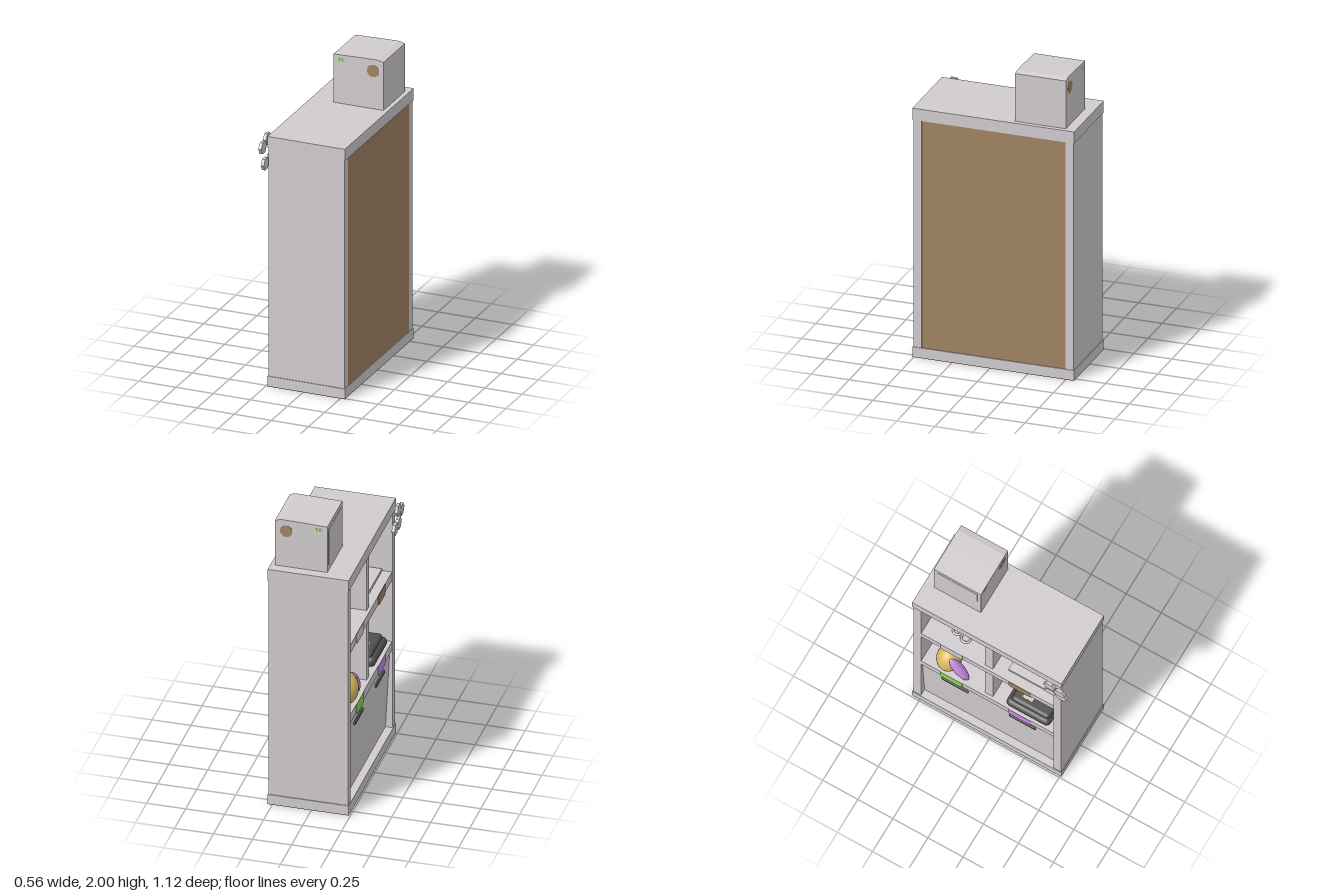
import * as THREE from 'three';
import { RoundedBoxGeometry } from 'three/addons/geometries/RoundedBoxGeometry.js';

const mat = (name, color) => {
  const m = new THREE.MeshStandardMaterial({ color });
  m.name = name;
  return m;
};
const shapeOf = (points) => new THREE.Shape(points.map(([a, b]) => new THREE.Vector2(a, b)));
const extrude = (shape, depth) => new THREE.ExtrudeGeometry(shape, { depth, bevelEnabled: false });

export function createModel() {
  const grey = mat('light grey', 0xd1cccf);
  const brown = mat('brown', 0xa08463);
  const dark = mat('dark grey', 0x515151);
  const green = mat('green', 0x8fd45c);
  const purple = mat('purple', 0xc48be0);
  const yellow = mat('yellow', 0xdcbc62);

  const root = new THREE.Group();
  root.name = 'shelfUnit';

  const add = (name, geo, material, x = 0, y = 0, z = 0, parent = root) => {
    const m = new THREE.Mesh(geo, material);
    m.name = name;
    m.position.set(x, y, z);
    parent.add(m);
    return m;
  };
  // Box given by its lower and upper bounds on each axis
  const box = (name, material, x0, x1, y0, y1, z0, z1) =>
    add(name, new THREE.BoxGeometry(x1 - x0, y1 - y0, z1 - z0), material,
      (x0 + x1) / 2, (y0 + y1) / 2, (z0 + z1) / 2);

  // Carcass, open towards -x
  box('underside', dark, -0.24, 0.28, 0, 0.003, -0.555, 0.51);
  box('base', grey, -0.24, 0.28, 0.003, 0.068, -0.555, 0.51);
  box('topBoard', grey, -0.24, 0.28, 1.592, 1.67, -0.555, 0.51);
  box('backSidePanel', grey, -0.235, 0.275, 0.068, 1.592, -0.55, -0.495);
  box('frontSidePanel', grey, -0.235, 0.275, 0.068, 1.592, 0.45, 0.505);
  box('rearPanel', brown, 0.25, 0.274, 0.068, 1.592, -0.495, 0.45);

  // Shelves and upright divider
  box('middleShelf', grey, -0.232, 0.25, 1.115, 1.175, -0.495, 0.45);
  box('lowerShelf', grey, -0.232, 0.25, 0.62, 0.68, -0.495, 0.45);
  box('upperDivider', grey, -0.212, 0.25, 1.175, 1.592, -0.05, 0.005);
  box('lowerDivider', grey, -0.212, 0.25, 0.68, 1.115, -0.05, 0.005);

  // Closed lower compartment, leaning out at the top, with two handles
  const frontShape = shapeOf([[-0.19, 0.068], [-0.16, 0.068], [-0.16, 0.62], [-0.218, 0.62]]);
  add('lowerFront', extrude(frontShape, 0.945), grey, 0, 0, -0.495);
  for (const z of [-0.26, 0.22]) {
    add('handle', new RoundedBoxGeometry(0.014, 0.025, 0.19, 2, 0.006), dark, -0.219, 0.54, z);
  }

  // Rounded tags on the shelf edges
  const tagShape = new THREE.Shape();
  tagShape.moveTo(-0.08, 0.037);
  tagShape.lineTo(-0.08, -0.01);
  tagShape.quadraticCurveTo(-0.08, -0.037, -0.055, -0.037);
  tagShape.lineTo(0.055, -0.037);
  tagShape.quadraticCurveTo(0.08, -0.037, 0.08, -0.01);
  tagShape.lineTo(0.08, 0.037);
  const tagGeo = extrude(tagShape, 0.004);
  tagGeo.rotateY(-Math.PI / 2);
  for (const [material, y, z] of [
    [grey, 1.145, -0.28], [brown, 1.145, 0.21], [green, 0.645, -0.28], [purple, 0.645, 0.21],
  ]) add('shelfTag', tagGeo, material, -0.232, y, z);

  // Box on top, with a slightly arched lid
  const cubeShape = shapeOf([[-0.085, 1.67], [0.25, 1.67], [0.25, 1.99], [0.21, 2], [0.1, 1.998], [-0.085, 1.992]]);
  add('topBox', extrude(cubeShape, 0.335), grey, 0, 0, -0.49);
  const doorGeo = extrude(shapeOf([
    [-0.465, 1.71], [-0.33, 1.71], [-0.285, 1.725], [-0.195, 1.81], [-0.18, 1.84], [-0.18, 1.96], [-0.465, 1.96],
  ]), 0.0015);
  doorGeo.rotateY(-Math.PI / 2);
  add('topBoxDoor', doorGeo, grey, -0.085, 0, 0);
  for (const z of [-0.49, -0.155]) {
    const spot = add('roundPatch', new THREE.CylinderGeometry(0.041, 0.041, 0.002, 12), brown, 0.18, 1.922, z);
    spot.rotation.x = Math.PI / 2;
    box('smallLabel', green, -0.055, -0.012, 1.95, 1.97, z - 0.001, z + 0.001);
  }

  // Two flat bows with six-sided lobes, hung beside the front corner
  const lobeGeo = new THREE.CylinderGeometry(0.042, 0.042, 0.02, 6).toNonIndexed();
  lobeGeo.rotateZ(Math.PI / 2);
  lobeGeo.computeVertexNormals();
  const bow = (x, y, tilt) => {
    const g = new THREE.Group();
    g.name = 'bow';
    g.position.set(x, y, 0.48);
    g.rotation.x = tilt;
    for (const s of [-1, 1]) {
      add('bowLobe', lobeGeo, grey, 0, 0, s * 0.039, g).rotation.x = Math.PI / 2 * (tilt ? 1 : 0);
    }
    root.add(g);
  };
  bow(-0.271, 1.61, 0.45);
  bow(-0.253, 1.49, 0);

  // Upper shelf: linked rings and a flat tray
  for (const [x, z] of [[-0.1, -0.31], [-0.12, -0.24]]) {
    const ring = add('ring', new THREE.TorusGeometry(0.03, 0.008, 6, 20), grey, x, 1.183, z);
    ring.rotation.x = Math.PI / 2;
  }
  box('flatTray', grey, -0.17, 0.1, 1.175, 1.195, 0.09, 0.44);

  // Lower shelf, one side: round bag, soft purple piece and a banded box
  const bag = add('roundBag', new THREE.SphereGeometry(1, 20, 14), yellow, -0.15, 0.778, -0.34);
  bag.scale.set(0.092, 0.115, 0.08);
  const soft = add('softPiece', new THREE.SphereGeometry(1, 16, 10), purple, -0.19, 0.775, -0.25);
  soft.scale.set(0.035, 0.115, 0.036);
  soft.rotation.x = -0.6;
  box('storageBox', grey, -0.06, 0.16, 0.68, 0.87, -0.4, -0.09);
  box('storageBoxBand', purple, -0.064, 0.164, 0.82, 0.848, -0.404, -0.086);

  // Lower shelf, other side: dark appliance with an upright handle
  add('applianceBody', new RoundedBoxGeometry(0.16, 0.065, 0.31, 3, 0.03), dark, -0.14, 0.713, 0.25);
  add('applianceTop', new RoundedBoxGeometry(0.125, 0.05, 0.27, 3, 0.023), dark, -0.13, 0.745, 0.255);
  box('appliancePatch', grey, -0.15, -0.11, 0.767, 0.772, 0.18, 0.25);
  const arm = add('applianceArm', new RoundedBoxGeometry(0.03, 0.25, 0.045, 2, 0.01), dark, -0.115, 0.89, 0.18);
  arm.rotation.x = -0.4;

  return root;
}
